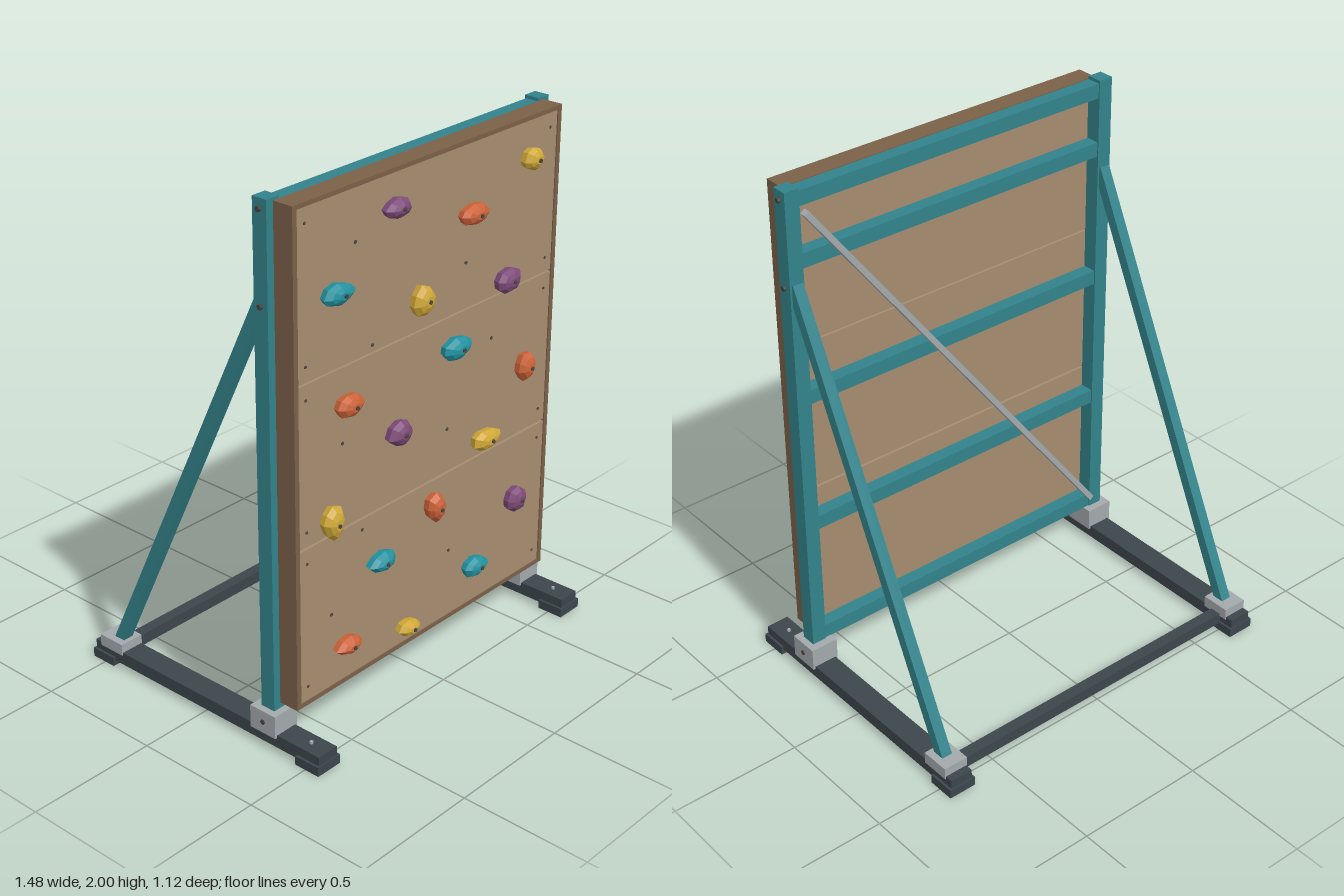
import * as THREE from 'three';
import { ConvexGeometry } from 'three/addons/geometries/ConvexGeometry.js';

const mat = (color) => new THREE.MeshStandardMaterial({ color, flatShading: true });
const MAT = {
  teal: mat(0x33838b), dark: mat(0x3c464b), steel: mat(0xa3a9ac), ply: mat(0xa68c6f),
  wood: mat(0x7b6048), bolt: mat(0x4a4640),
};
const HOLD = {
  teal: mat(0x2292a0), purple: mat(0x7d4a78), yellow: mat(0xd0a838), orange: mat(0xcc6238),
};

export function createModel() {
  const model = new THREE.Group();
  model.name = 'climbingWall';

  const add = (name, geometry, material, x, y, z, parent = model) => {
    const mesh = new THREE.Mesh(geometry, material);
    mesh.name = name;
    mesh.position.set(x, y, z);
    parent.add(mesh);
    return mesh;
  };
  // Box given by its min / max on every axis
  const box = (name, material, [x0, x1], [y0, y1], [z0, z1]) =>
    add(name, new THREE.BoxGeometry(x1 - x0, y1 - y0, z1 - z0), material,
      (x0 + x1) / 2, (y0 + y1) / 2, (z0 + z1) / 2);
  // Square bar between two points
  const bar = (name, material, a, b, w, d) => {
    const from = new THREE.Vector3(...a), to = new THREE.Vector3(...b);
    const mid = from.clone().add(to).multiplyScalar(0.5);
    const mesh = add(name, new THREE.BoxGeometry(w, from.distanceTo(to), d), material, mid.x, mid.y, mid.z);
    mesh.quaternion.setFromUnitVectors(new THREE.Vector3(0, 1, 0), to.sub(from).normalize());
    return mesh;
  };
  const disc = (name, material, r, len, axis, x, y, z) => {
    const mesh = add(name, new THREE.CylinderGeometry(r, r, len, 6), material, x, y, z);
    if (axis === 'z') mesh.rotation.x = Math.PI / 2;
    if (axis === 'x') mesh.rotation.z = Math.PI / 2;
    return mesh;
  };

  // Base runners, feet, brackets, posts and rear braces on both sides
  for (const s of [-1, 1]) {
    const c = 0.683 * s;
    const span = (w) => [c - w / 2, c + w / 2];
    box('baseRunner', MAT.dark, span(0.09), [0.02, 0.07], [-0.555, 0.555]);
    for (const e of [-1, 1]) {
      box('foot', MAT.dark, span(0.11), [0, 0.035], [e * 0.508 - 0.053, e * 0.508 + 0.053]);
    }
    disc('runnerBolt', MAT.steel, 0.007, 0.012, 'y', c, 0.073, 0.48);
    box('postBracket', MAT.steel, span(0.11), [0.06, 0.148], [0.245, 0.362]);
    box('rearBracket', MAT.steel, span(0.098), [0.06, 0.105], [-0.525, -0.412]);
    box('post', MAT.teal, span(0.058), [0.08, 2], [0.275, 0.335]);
    bar('rearBrace', MAT.teal, [c, 1.65, 0.288], [c, 0.085, -0.463], 0.042, 0.042);
    for (const y of [1.64, 1.965]) {
      disc('postBolt', MAT.bolt, 0.01, 0.012, 'x', c + s * 0.033, y, 0.305);
    }
    disc('bracketBolt', MAT.bolt, 0.01, 0.01, 'x', c + s * 0.054, 0.105, 0.305);
  }
  box('rearCrossBar', MAT.dark, [-0.64, 0.64], [0.025, 0.07], [-0.495, -0.45]);

  // Horizontal rails and the diagonal tie behind the panels
  for (const y of [0.175, 0.67, 1.2, 1.73, 1.96]) {
    box('rail', MAT.teal, [-0.66, 0.66], [y - 0.028, y + 0.028], [0.28, 0.333]);
  }
  bar('diagonalTie', MAT.steel, [0.645, 1.915, 0.262], [-0.645, 0.205, 0.262], 0.022, 0.026);

  // Wooden edging around the climbing face
  const depth = [0.335, 0.415];
  for (const s of [-1, 1]) {
    box('sideEdging', MAT.wood, [s * 0.672 - 0.01, s * 0.672 + 0.01], [0.17, 1.99], depth);
  }
  box('bottomEdging', MAT.wood, [-0.663, 0.663], [0.17, 0.186], depth);
  box('topEdging', MAT.wood, [-0.663, 0.663], [1.974, 1.99], depth);

  // Three plywood panels with open seams and corner screws
  for (const [y0, y1] of [[0.186, 0.774], [0.783, 1.373], [1.38, 1.974]]) {
    box('panel', MAT.ply, [-0.662, 0.662], [y0, y1], [0.34, 0.411]);
    for (const x of [-0.625, 0.625]) {
      for (const y of [y0 + 0.055, y1 - 0.055]) disc('screw', MAT.bolt, 0.006, 0.004, 'z', x, y, 0.411);
    }
  }
  // Spare insert holes
  for (const [x, y] of [[-0.39, 1.79], [0.175, 1.55], [-0.305, 1.405], [0.33, 1.22], [-0.45, 1.1],
    [0.095, 0.95], [-0.35, 0.735], [0.12, 0.455], [-0.505, 0.47]]) {
    disc('insertHole', MAT.bolt, 0.007, 0.004, 'z', x, y, 0.411);
  }

  // Faceted holds: colour, x, y, width, height, direction of the pointed end in degrees
  const holds = [
    ['purple', -0.21, 1.86, 0.125, 0.072, 175], ['yellow', 0.505, 1.84, 0.1, 0.084, 0],
    ['orange', 0.19, 1.727, 0.145, 0.075, 0], ['teal', -0.49, 1.65, 0.148, 0.078, 0],
    ['yellow', -0.072, 1.497, 0.105, 0.115, 100], ['purple', 0.388, 1.427, 0.118, 0.09, 30],
    ['teal', 0.115, 1.26, 0.145, 0.085, 10], ['orange', -0.435, 1.24, 0.13, 0.08, 5],
    ['purple', -0.185, 1.045, 0.12, 0.096, 190], ['orange', 0.51, 1.055, 0.085, 0.105, 250],
    ['yellow', -0.52, 0.838, 0.098, 0.132, 270], ['yellow', 0.295, 0.845, 0.145, 0.075, 15],
    ['orange', 0.015, 0.68, 0.088, 0.118, 270], ['teal', -0.272, 0.585, 0.135, 0.075, 180],
    ['purple', 0.482, 0.528, 0.1, 0.1, 300], ['orange', -0.442, 0.33, 0.13, 0.068, 180],
    ['teal', 0.255, 0.342, 0.13, 0.078, 0], ['yellow', -0.122, 0.253, 0.11, 0.058, 0],
  ];
  let seed = 7;
  const rand = () => (seed = (seed * 16807) % 2147483647) / 2147483647;
  const rings = [[0, 0.88], [0.025, 1], [0.043, 0.72], [0.052, 0.35]];
  holds.forEach(([color, x, y, w, h, tip]) => {
    const t = THREE.MathUtils.degToRad(tip);
    const outline = [];
    for (let i = 0; i < 8; i++) {
      const a = t + (i / 8) * Math.PI * 2 + (i ? (rand() - 0.5) * 0.3 : 0);
      const r = i === 0 ? 1.1 : 0.86 + rand() * 0.14;
      outline.push([Math.cos(a) * r, Math.sin(a) * r]);
    }
    // Fit the outline to the wanted width and height
    const fit = (k, size) => {
      const v = outline.map((p) => p[k]), lo = Math.min(...v), hi = Math.max(...v);
      outline.forEach((p) => { p[k] = ((p[k] - (lo + hi) / 2) / (hi - lo)) * size; });
    };
    fit(0, w);
    fit(1, h);
    const points = rings.flatMap(([z, k]) => outline.map(([px, py]) => new THREE.Vector3(px * k, py * k, z)));
    add(color + 'Hold', new ConvexGeometry(points), HOLD[color], x, y, 0.411);
    disc('holdBolt', MAT.bolt, 0.008, 0.014, 'z', x, y, 0.461);
  });

  return model;
}
